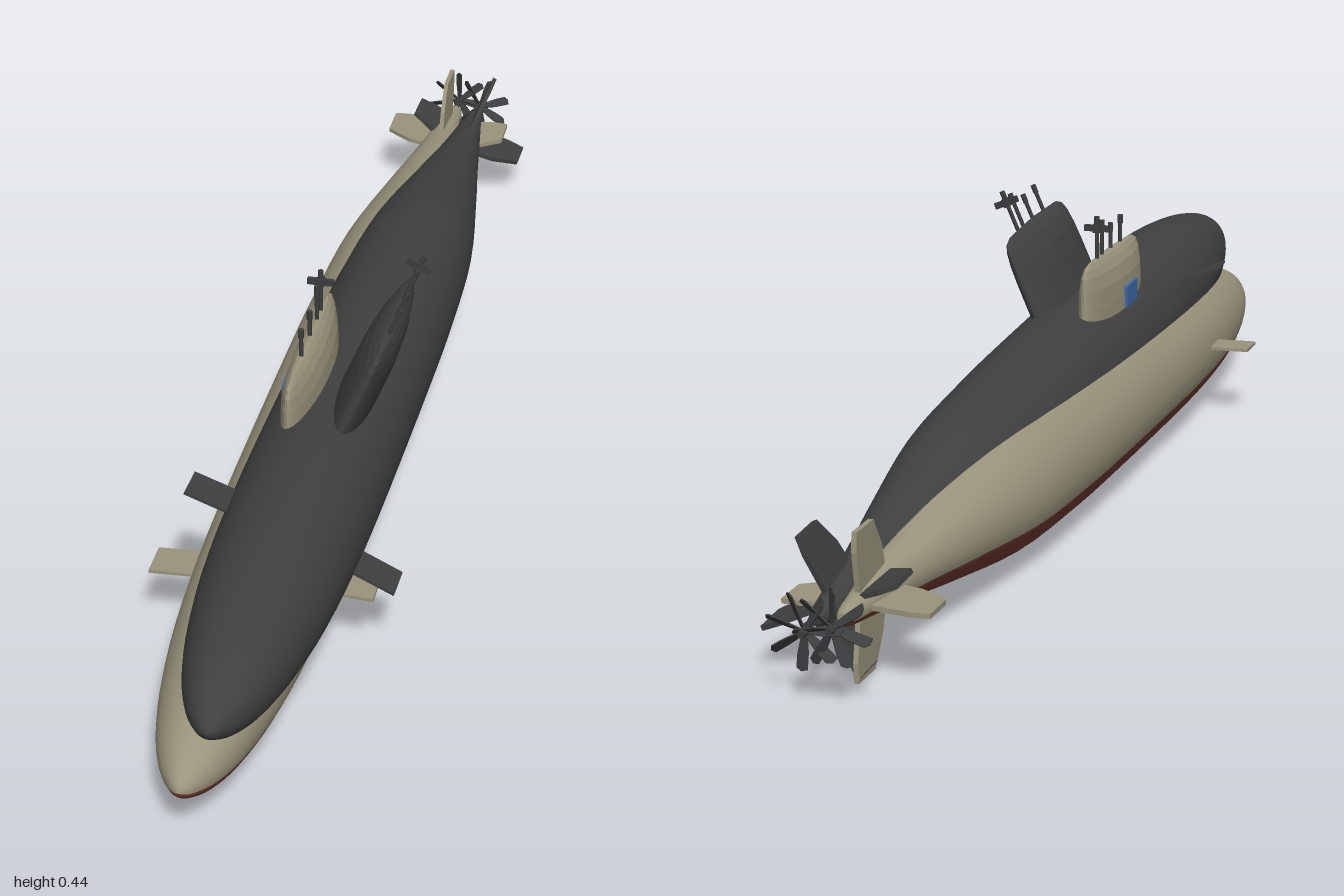
import * as THREE from 'three';
import { ParametricGeometry } from 'three/addons/geometries/ParametricGeometry.js';

const mat = (name, color) => {
  const m = new THREE.MeshStandardMaterial({ color });
  m.name = name;
  return m;
};

function add(parent, name, geometry, material) {
  const mesh = new THREE.Mesh(geometry, material);
  mesh.name = name;
  parent.add(mesh);
  return mesh;
}

// Flat plate in the horizontal plane from [x, z] corners
function plate(corners, thickness) {
  const shape = new THREE.Shape(corners.map(([x, z]) => new THREE.Vector2(x, z)));
  return new THREE.ExtrudeGeometry(shape, { depth: thickness, bevelEnabled: false })
    .translate(0, 0, -thickness / 2).rotateX(Math.PI / 2);
}

// Hull section swept about the long axis; phi = 0 points down
const hullProfile = new THREE.SplineCurve([
  [0, -0.945], [0.012, -0.94], [0.021, -0.88], [0.032, -0.8], [0.047, -0.7], [0.063, -0.6],
  [0.091, -0.4], [0.1, -0.2], [0.103, 0], [0.103, 0.4], [0.096, 0.63], [0.081, 0.78],
  [0.062, 0.88], [0.042, 0.94], [0.022, 0.975], [0.009, 0.989], [0, 0.993],
].map(([r, z]) => new THREE.Vector2(r, z))).getPoints(64);
hullProfile.forEach((p) => { p.x = Math.max(p.x, 0); });

function hull(start, length) {
  return new THREE.LatheGeometry(hullProfile, 40, start, length).rotateX(Math.PI / 2);
}

// Sail: stacked ellipses [height, half width, half length], rounded at the top
const sailLevels = [
  [0.07, 0.029, 0.146], [0.12, 0.029, 0.147], [0.16, 0.0285, 0.147], [0.19, 0.026, 0.147],
  [0.212, 0.02, 0.145], [0.224, 0.013, 0.139], [0.231, 0.007, 0.12], [0.235, 0.0001, 0.01],
];
function sailGeometry() {
  const n = sailLevels.length - 1;
  return new ParametricGeometry((u, v, target) => {
    const [y, w, l] = sailLevels[Math.round(v * n)];
    const a = u * Math.PI * 2;
    target.set(w * Math.cos(a), y, 0.23 - l * Math.sin(a));
  }, 40, n);
}

// One boat, built around its long axis
function boat(name, upper, lower, metal) {
  const g = new THREE.Group();
  g.name = name;
  const edge = THREE.MathUtils.degToRad(70);
  add(g, 'upperHull', hull(edge, Math.PI * 2 - 2 * edge), upper);
  add(g, 'lowerHull', hull(-edge, 2 * edge), lower);
  add(g, 'sail', sailGeometry(), upper);

  // Masts: [z, top]
  for (const [z, top] of [[0.285, 0.277], [0.23, 0.275], [0.182, 0.289], [0.155, 0.3]]) {
    const h = top - 0.2;
    add(g, 'mast', new THREE.CylinderGeometry(0.0032, 0.0032, h, 10), metal)
      .position.set(0, 0.2 + h / 2, z);
    add(g, 'mastHead', new THREE.CylinderGeometry(0.0042, 0.0042, 0.014, 10), metal)
      .position.set(0, top - 0.007, z);
  }
  add(g, 'radarBar', new THREE.BoxGeometry(0.04, 0.01, 0.006), metal).position.set(0, 0.281, 0.155);
  add(g, 'radarBox', new THREE.BoxGeometry(0.01, 0.014, 0.012), metal).position.set(0, 0.281, 0.155);

  // Bow planes
  for (const s of [0, 1]) {
    const corners = s === 0
      ? [[0.08, 0.488], [0.163, 0.494], [0.163, 0.55], [0.08, 0.545]]
      : [[-0.08, 0.545], [-0.163, 0.55], [-0.163, 0.494], [-0.08, 0.488]];
    add(g, 'bowPlane', plate(corners, 0.005), upper).position.y = 0.012;
  }

  // Four stern fins in a cross
  const fin = plate([[0.01, -0.895], [0.075, -0.907], [0.102, -0.905], [0.102, -0.845], [0.06, -0.815], [0.01, -0.8]], 0.007);
  for (let i = 0; i < 4; i++) add(g, 'sternFin', fin, upper).rotation.z = i * Math.PI / 2;

  // Propeller with twisted blades on a thin shaft
  const prop = new THREE.Group();
  prop.name = 'propeller';
  prop.position.z = -0.985;
  g.add(prop);
  add(prop, 'shaft', new THREE.CylinderGeometry(0.003, 0.003, 0.05, 10).rotateX(Math.PI / 2), metal).position.z = 0.025;
  add(prop, 'hub', new THREE.CylinderGeometry(0.008, 0.005, 0.026, 14).rotateX(Math.PI / 2), metal);
  const blade = plate([[0.004, -0.004], [0.03, -0.009], [0.048, -0.01], [0.054, -0.004], [0.054, 0.005], [0.03, 0.006], [0.004, 0.004]], 0.002)
    .rotateX(0.8);
  for (let i = 0; i < 7; i++) add(prop, 'blade', blade, metal).rotation.z = Math.PI / 2 + i * Math.PI * 2 / 7;
  return g;
}

export function createModel() {
  const tan = mat('tan', 0x9a947c);
  const red = mat('hullRed', 0x743c33);
  const dark = mat('charcoal', 0x404040);
  const metal = mat('mastGrey', 0x3c3d3e);
  const blue = mat('panelBlue', 0x3f6aa8);

  const model = new THREE.Group();
  model.name = 'submarinePair';

  // Level boat in tan and red
  const level = boat('tanSubmarine', tan, red, metal);
  level.position.set(-0.016, 0.105, 0);
  const panel = add(level, 'sailPanel', new THREE.BoxGeometry(0.006, 0.034, 0.066), blue);
  panel.position.set(-0.0285, 0.158, 0.25);
  panel.rotation.y = 0.03;

  // Dark boat, pitched up and rolled to its left
  const tilted = boat('darkSubmarine', dark, dark, metal);
  tilted.position.set(0.022, 0.153, 0);
  tilted.rotation.set(-0.057, 0, -0.39);

  model.add(level, tilted);
  return model;
}
